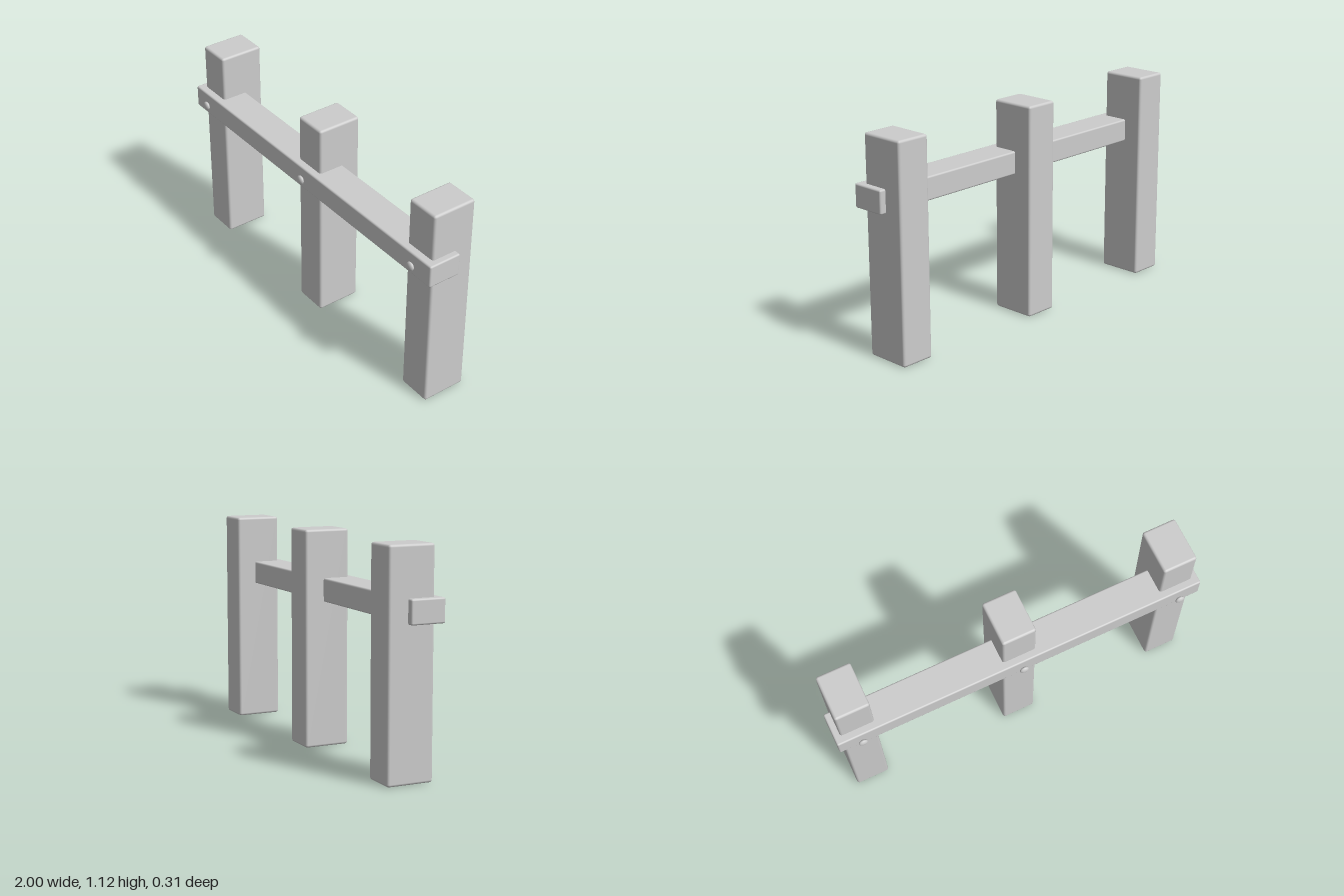
import * as THREE from 'three';
import { RoundedBoxGeometry } from 'three/addons/geometries/RoundedBoxGeometry.js';

export function createModel() {
  const model = new THREE.Group();
  model.name = 'railFence';
  const grey = new THREE.MeshStandardMaterial({ color: 0xcccccc });
  grey.name = 'plain grey';

  const add = (name, geometry, x, y, z) => {
    const mesh = new THREE.Mesh(geometry, grey);
    mesh.name = name;
    mesh.position.set(x, y, z);
    model.add(mesh);
  };

  // Square posts with softened edges, each with a bolt head in front of the rail
  const post = new RoundedBoxGeometry(0.182, 1.124, 0.24, 2, 0.013);
  const bolt = new THREE.SphereGeometry(0.024, 20, 12);
  bolt.rotateX(Math.PI / 2);
  bolt.scale(1, 1, 0.5);
  const places = [['right', -0.876], ['middle', 0], ['left', 0.876]];
  for (const [side, x] of places) {
    add(side + 'Post', post, x, 0.562, -0.035);
    add(side + 'Bolt', bolt, x, 0.815, 0.143);
  }

  // Long rail let into the front of the posts
  add('rail', new RoundedBoxGeometry(2, 0.121, 0.179, 2, 0.009), 0, 0.815, 0.035);

  return model;
}
